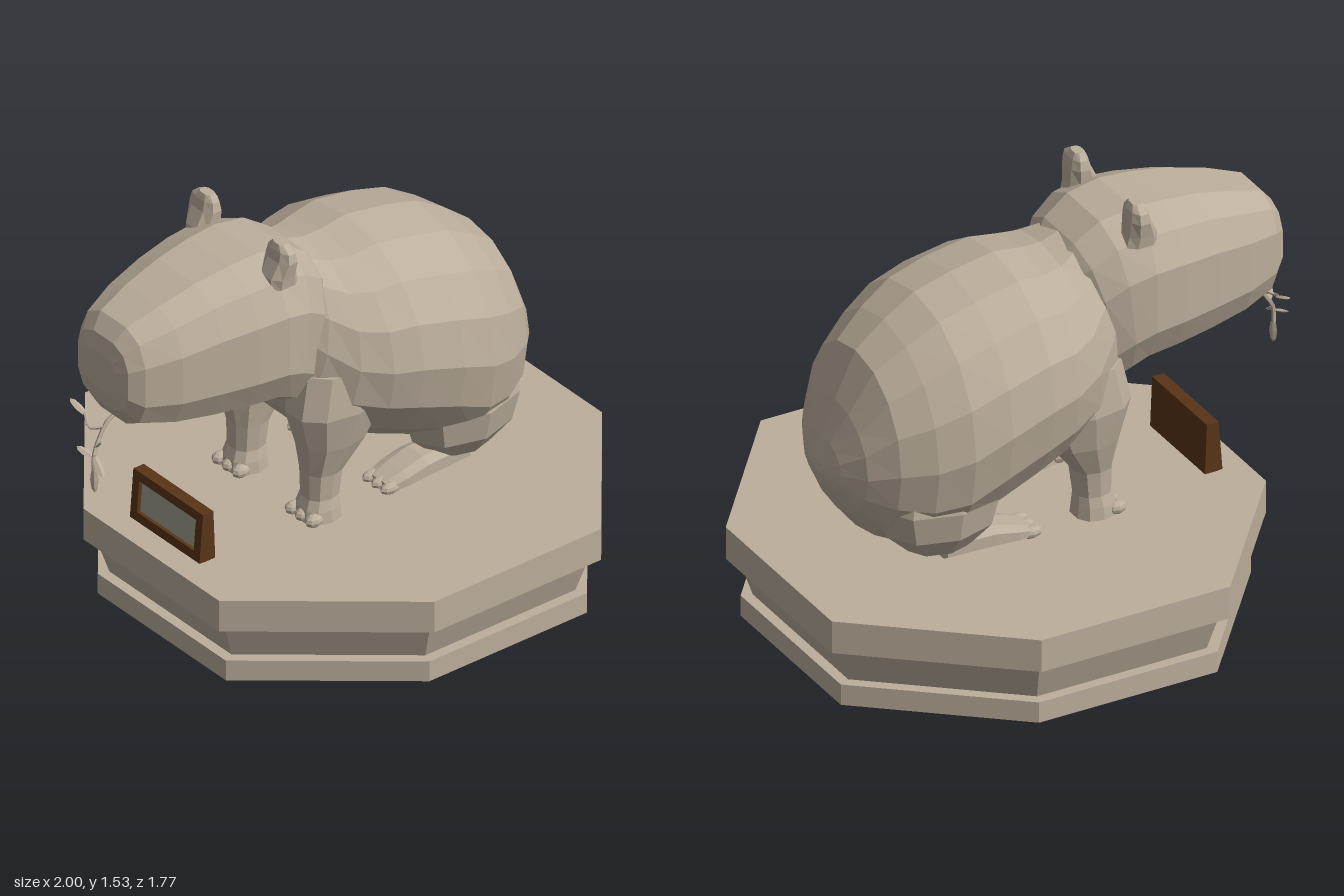
import * as THREE from 'three';

const paint = (color) => new THREE.MeshStandardMaterial({ color, flatShading: true, side: THREE.DoubleSide });
const stone = paint(0xbcae9c), wood = paint(0x5a3417), plate = paint(0xa0a090);

const pow = (v, e) => Math.sign(v) * Math.abs(v) ** e;

// Rounded outline: n pairs [a, b] in -1..1; smaller e is boxier
function outline(n, e, turn = 0) {
  return Array.from({ length: n }, (_, i) => {
    const t = ((i + turn) / n) * Math.PI * 2;
    return [pow(Math.cos(t), e), pow(Math.sin(t), e)];
  });
}

// Closed skin through rings of equal point count, facing outward
function loft(rings) {
  const tris = [], n = rings[0].length;
  const mid = (r) => r.reduce((s, p) => s.add(p), new THREE.Vector3()).divideScalar(n);
  const first = mid(rings[0]), last = mid(rings[rings.length - 1]);
  for (let j = 0; j < n; j++) {
    const k = (j + 1) % n, end = rings[rings.length - 1];
    tris.push([first, rings[0][k], rings[0][j]], [last, end[j], end[k]]);
    for (let i = 0; i + 1 < rings.length; i++) {
      const a = rings[i], b = rings[i + 1];
      tris.push([a[j], a[k], b[k]], [a[j], b[k], b[j]]);
    }
  }
  const cross = new THREE.Vector3();
  const volume = tris.reduce((s, [a, b, c]) => s + cross.crossVectors(b, c).dot(a), 0);
  const points = tris.flatMap((t) => (volume < 0 ? [t[0], t[2], t[1]] : t));
  const g = new THREE.BufferGeometry().setFromPoints(points);
  g.computeVertexNormals();
  return g;
}

// Sections across x: [x, bottom, top, half width, lean]
const loftX = (rows, n, e, turn) => loft(rows.map(([x, lo, hi, w, lean = 0]) =>
  outline(n, e, turn).map(([a, b]) => {
    const dy = (a * (hi - lo)) / 2;
    return new THREE.Vector3(x + lean * dy, (lo + hi) / 2 + dy, b * w);
  })));

// Sections across y: [y, x0, x1, z, half depth]
const loftY = (rows, n, e, turn) => loft(rows.map(([y, x0, x1, z, d]) =>
  outline(n, e, turn).map(([a, b]) =>
    new THREE.Vector3((x0 + x1) / 2 + (a * (x1 - x0)) / 2, y, z + b * d))));

export function createModel() {
  const model = new THREE.Group();
  const add = (name, geometry, material = stone, parent = model) => {
    const mesh = new THREE.Mesh(geometry, material);
    mesh.name = name;
    parent.add(mesh);
    return mesh;
  };
  const blob = (name, x, y, z, sx, sy, sz) => {
    const m = add(name, new THREE.SphereGeometry(1, 8, 6));
    m.position.set(x, y, z);
    m.scale.set(sx, sy, sz);
    return m;
  };

  // Stepped eight-sided pedestal
  const corners = [[-0.42, -0.885], [0.32, -0.885], [0.88, -0.42], [0.88, 0.315],
    [0.42, 0.885], [-0.31, 0.885], [-0.88, 0.42], [-0.88, -0.32]];
  const steps = [[0, 0.945], [0.08, 0.945], [0.08, 0.9], [0.23, 0.955], [0.23, 1], [0.355, 1]];
  add('pedestal', loft(steps.map(([y, s]) =>
    corners.map(([x, z]) => new THREE.Vector3(0.11 + x * s, y, z * s)))));

  // Sitting body, from chest to rump
  add('body', loftX([
    [-0.24, 0.84, 1.36, 0.23, 0.25], [-0.19, 0.75, 1.36, 0.29, 0.2],
    [-0.1, 0.63, 1.34, 0.36, 0.1], [0.01, 0.57, 1.34, 0.41],
    [0.12, 0.52, 1.355, 0.432], [0.29, 0.45, 1.325, 0.445],
    [0.43, 0.375, 1.285, 0.435], [0.55, 0.375, 1.21, 0.39],
    [0.66, 0.43, 1.12, 0.32], [0.74, 0.53, 0.95, 0.23],
    [0.79, 0.63, 0.82, 0.13], [0.81, 0.69, 0.73, 0.04],
  ], 16, 0.95, 0));

  // Long blunt head
  add('head', loftX([
    [-0.955, 1.08, 1.23, 0.09], [-0.94, 1.01, 1.29, 0.14], [-0.895, 0.945, 1.345, 0.18],
    [-0.77, 0.91, 1.39, 0.23], [-0.62, 0.885, 1.43, 0.262], [-0.48, 0.87, 1.45, 0.288],
    [-0.36, 0.86, 1.457, 0.3], [-0.27, 0.83, 1.435, 0.29, 0.12],
    [-0.2, 0.8, 1.37, 0.265, 0.22], [-0.14, 0.85, 1.3, 0.2, 0.25],
  ], 12, 0.7, 0.5));

  for (const s of [1, -1]) {
    const side = s > 0 ? 'left' : 'right';

    // Ear, a flared upright flap
    add(`${side}Ear`, loftY([
      [1.37, -0.4, -0.27, s * 0.205, 0.055], [1.41, -0.395, -0.28, s * 0.205, 0.06],
      [1.47, -0.365, -0.285, s * 0.208, 0.068], [1.505, -0.355, -0.293, s * 0.208, 0.06],
      [1.528, -0.345, -0.305, s * 0.2, 0.03],
    ], 8, 0.8, 0.5));

    // Front leg, narrowing from the shoulder to a flat paw
    add(`${side}FrontLeg`, loftY([
      [0.96, -0.25, 0.12, s * 0.2, 0.13], [0.8, -0.285, 0.1, s * 0.21, 0.13],
      [0.66, -0.245, 0.02, s * 0.21, 0.1], [0.54, -0.222, -0.075, s * 0.2, 0.072],
      [0.44, -0.22, -0.088, s * 0.2, 0.065], [0.4, -0.235, -0.085, s * 0.2, 0.075],
      [0.355, -0.24, -0.08, s * 0.2, 0.08],
    ], 10, 0.85, 0.5));
    for (const dz of [-0.055, 0, 0.055])
      blob(`${side}FrontToe`, -0.222, 0.376, s * 0.2 + dz, 0.036, 0.025, 0.026);

    // Haunch and long hind foot
    blob(`${side}Haunch`, 0.45, 0.6, s * 0.21, 0.24, 0.225, 0.17);
    add(`${side}HindFoot`, loftX([
      [0.1, 0.355, 0.39, 0.065], [0.17, 0.355, 0.415, 0.08],
      [0.26, 0.355, 0.44, 0.08], [0.45, 0.355, 0.44, 0.07],
    ], 8, 0.7, 0.5)).position.z = s * 0.205;
    for (const dz of [-0.05, 0, 0.05])
      blob(`${side}HindToe`, 0.115, 0.374, s * 0.205 + dz, 0.045, 0.022, 0.024);
  }

  // Leafy twig hanging from the mouth
  const path = (pts) => new THREE.CatmullRomCurve3(pts.map((p) => new THREE.Vector3(...p)));
  const twig = new THREE.Group();
  twig.name = 'twig';
  model.add(twig);
  add('stem', new THREE.TubeGeometry(path([[-0.86, 0.96, 0], [-0.91, 0.93, -0.01],
    [-0.95, 0.87, -0.01], [-0.98, 0.82, 0], [-0.982, 0.76, 0]]), 8, 0.008, 5), stone, twig);
  add('sideStem', new THREE.TubeGeometry(path([[-0.93, 0.91, -0.01], [-0.96, 0.9, -0.05],
    [-0.94, 0.93, -0.1]]), 5, 0.006, 5), stone, twig);
  // Leaf: pointed diamond between two ends
  const leaf = (from, to, width) => {
    const a = new THREE.Vector3(...from), d = new THREE.Vector3(...to).sub(a);
    const m = add('leaf', new THREE.SphereGeometry(0.5, 4, 4), stone, twig);
    m.position.copy(a).addScaledVector(d, 0.5);
    m.quaternion.setFromUnitVectors(new THREE.Vector3(0, 1, 0), d.clone().normalize());
    m.scale.set(width, d.length(), width * 0.4);
  };
  leaf([-0.98, 0.77, 0], [-0.985, 0.675, 0.01], 0.03);
  leaf([-0.98, 0.82, 0], [-0.995, 0.77, 0.07], 0.03);
  leaf([-0.97, 0.85, 0], [-0.99, 0.9, 0.05], 0.025);
  leaf([-0.94, 0.92, -0.09], [-0.945, 0.95, -0.175], 0.03);
  leaf([-0.98, 0.81, 0], [-1.0, 0.83, -0.07], 0.03);

  // Small framed sign standing on the pedestal, facing -x
  const sign = new THREE.Group();
  sign.name = 'sign';
  sign.position.set(-0.645, 0.355, 0.01);
  model.add(sign);
  add('signBack', loftY([[0, -0.012, 0.035, 0, 0.19 * Math.SQRT2], [0.192, 0.002, 0.027, 0, 0.19 * Math.SQRT2]]
    .map(([y, a, b, z, d]) => {
      const c = (a + b) / 2, h = ((b - a) / 2) * Math.SQRT2;
      return [y, c - h, c + h, z, d];
    }), 4, 1, 0.5), wood, sign);
  const rect = (Kind, w, y0, y1) => new Kind([[-w, y0], [w, y0], [w, y1], [-w, y1]]
    .map((p) => new THREE.Vector2(...p)));
  const frame = rect(THREE.Shape, 0.19, 0, 0.192);
  frame.holes.push(rect(THREE.Path, 0.155, 0.035, 0.157));
  const front = new THREE.Group();
  front.rotation.set(0, -Math.PI / 2, 0);
  const tilt = new THREE.Group();
  tilt.rotation.z = -0.08;
  tilt.position.x = -0.01;
  tilt.add(front);
  sign.add(tilt);
  add('signFrame', new THREE.ExtrudeGeometry(frame, { depth: 0.024, bevelEnabled: false }), wood, front);
  add('signPlate', new THREE.BoxGeometry(0.31, 0.122, 0.01), plate, front).position.set(0, 0.096, 0.005);
  return model;
}
